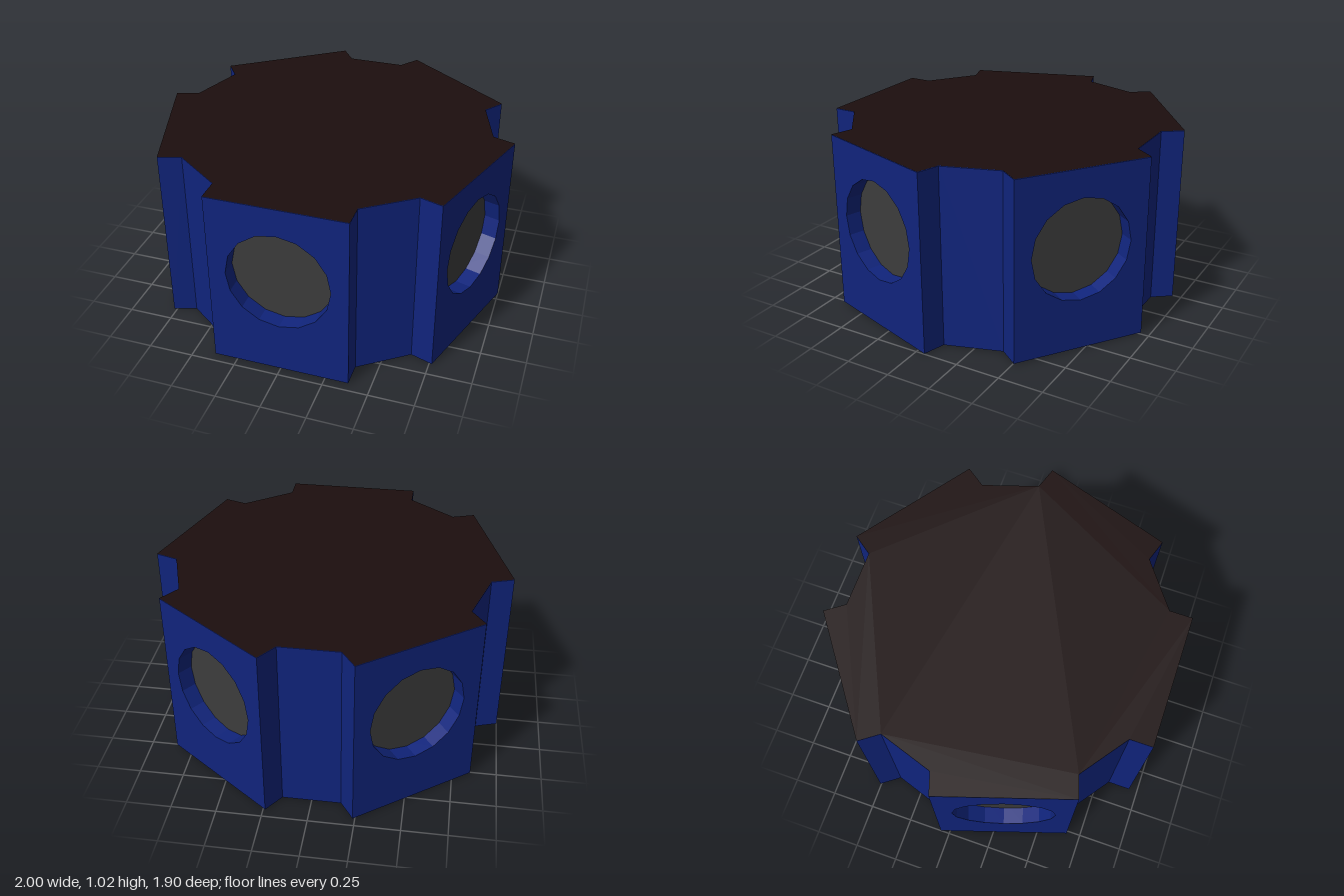
import * as THREE from 'three';

const SIDES = 5, HEIGHT = 1.02, GAP = 0.003;
const APOTHEM = 0.928, HALF = 0.38, PLATE = 0.13;   // plate face distance, half width, thickness
const HOLE_R = 0.285, HOLE_Y = 0.575, RECESS = 0.09;
const CENTRE_Z = 0.022;

const mat = (color) => new THREE.MeshStandardMaterial({ color, flatShading: true });

// Plan outline: every side gives a list of [across, outward] points, turned around the axis
function outline(points) {
  const pts = [];
  for (let k = 0; k < SIDES; k++) {
    const a = (k * 2 * Math.PI) / SIDES, s = Math.sin(a), c = Math.cos(a);
    for (const [u, r] of points) pts.push(new THREE.Vector2(u * c + r * s, -(r * c - u * s)));
  }
  return new THREE.Shape(pts);
}

export function createModel() {
  const model = new THREE.Group();
  model.name = 'fiveSidedHousing';
  const body = new THREE.Group();
  body.position.z = CENTRE_Z;
  model.add(body);

  const blue = mat(0x10247c), brown = mat(0x1c0e0e), grey = mat(0x3c3c3c), bright = mat(0x1010c0);
  const add = (parent, geometry, material, name) => {
    const mesh = new THREE.Mesh(geometry, material);
    mesh.name = name;
    parent.add(mesh);
    return mesh;
  };

  const inner = APOTHEM - PLATE;
  const bodyHeight = HEIGHT - 2 * GAP;

  // Ten-sided core between the plates
  const core = new THREE.ExtrudeGeometry(outline([[-HALF, inner], [HALF, inner]]),
    { depth: bodyHeight, bevelEnabled: false });
  core.rotateX(-Math.PI / 2).translate(0, GAP, 0);
  add(body, core, blue, 'core');

  // Dark lid following the full outline
  const lid = new THREE.ShapeGeometry(outline(
    [[-HALF, inner], [-HALF, APOTHEM], [HALF, APOTHEM], [HALF, inner]]));
  lid.rotateX(-Math.PI / 2).translate(0, HEIGHT, 0);
  add(body, lid, brown, 'lid');

  // Plate with a round opening
  const plateShape = new THREE.Shape([
    new THREE.Vector2(-HALF, GAP), new THREE.Vector2(HALF, GAP),
    new THREE.Vector2(HALF, GAP + bodyHeight), new THREE.Vector2(-HALF, GAP + bodyHeight)]);
  const hole = [];
  for (let i = 0; i < 16; i++) {
    const a = (-i * Math.PI) / 8;
    hole.push(new THREE.Vector2(HOLE_R * Math.cos(a), HOLE_Y + HOLE_R * Math.sin(a)));
  }
  plateShape.holes.push(new THREE.Path(hole));
  const plate = new THREE.ExtrudeGeometry(plateShape, { depth: PLATE, bevelEnabled: false });
  plate.translate(0, 0, inner);

  // Recessed round window
  const disc = new THREE.CircleGeometry(HOLE_R, 16);
  disc.translate(0, HOLE_Y, APOTHEM - RECESS);

  for (let k = 0; k < SIDES; k++) {
    const side = new THREE.Group();
    side.name = `side${k + 1}`;
    side.rotation.y = (k * 2 * Math.PI) / SIDES;
    add(side, plate, blue, 'plate');
    add(side, disc, grey, 'window');
    body.add(side);
  }

  // Small stud in the middle of the underside
  const stud = new THREE.CylinderGeometry(0.037, 0.037, 0.02, 16);
  add(body, stud, bright, 'bottomStud').position.y = 0.01;

  return model;
}
